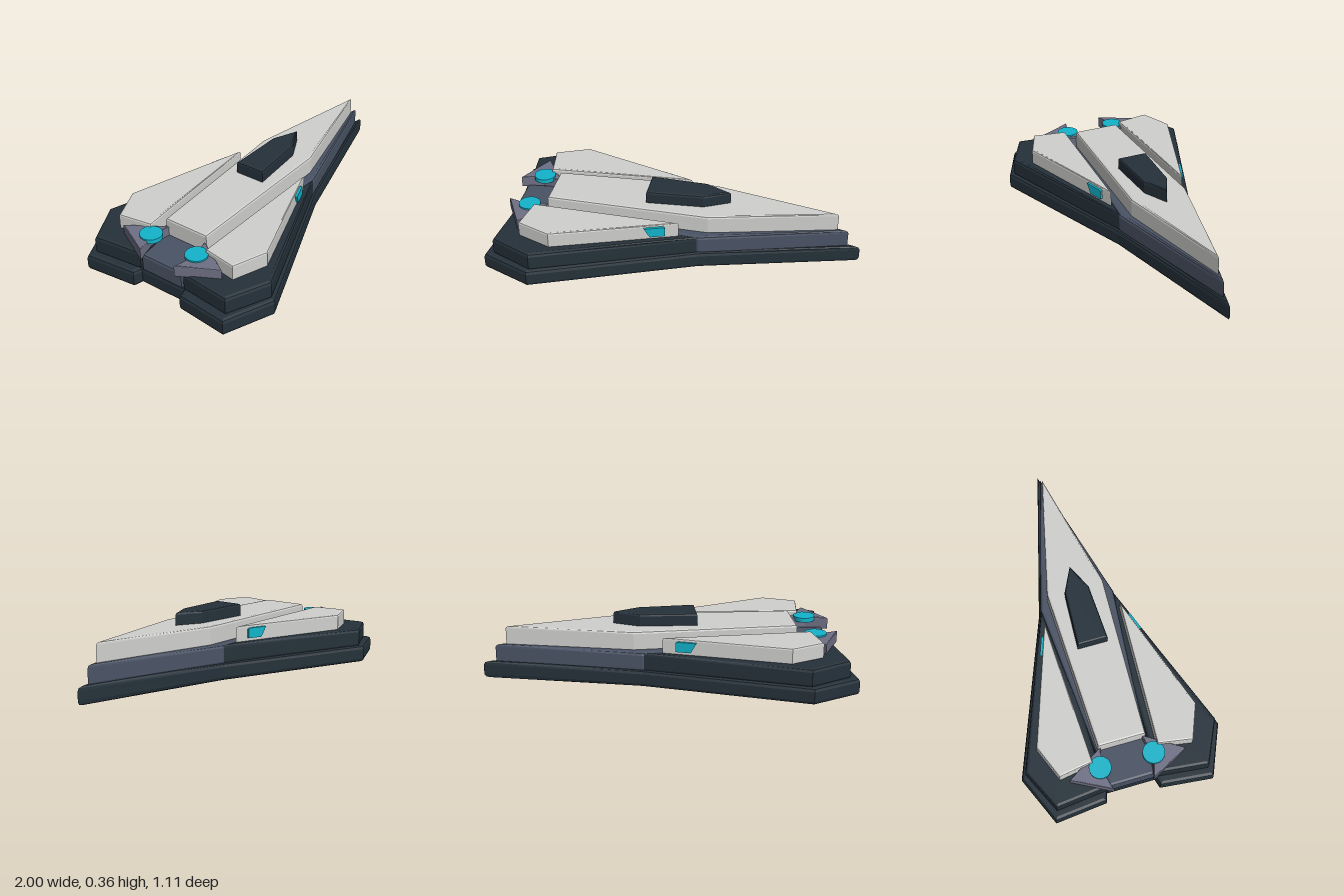
import * as THREE from 'three';

const mat = (name, color) => {
  const m = new THREE.MeshStandardMaterial({ color });
  m.name = name;
  return m;
};

export function createModel() {
  const dark = mat('dark hull', 0x25313a);
  const slate = mat('slate hull', 0x4a5365);
  const light = mat('light armour', 0xd0d0ce);
  const cyan = mat('cyan glow', 0x12b4cb);
  const bracket = mat('bracket grey', 0x6f7085);

  const model = new THREE.Group();
  model.name = 'wedgeShip';

  // Bevelled slab from a plan outline of [x, z] points, between two heights
  function slab(name, points, y0, y1, bevel, material) {
    const shape = new THREE.Shape(points.map(([x, z]) => new THREE.Vector2(x, -z)));
    const geo = new THREE.ExtrudeGeometry(shape, {
      depth: y1 - y0 - 2 * bevel, bevelEnabled: true, bevelThickness: bevel,
      bevelSize: bevel, bevelOffset: -bevel, bevelSegments: 2,
    });
    geo.rotateX(-Math.PI / 2);
    geo.translate(0, y0 + bevel, 0);
    const mesh = new THREE.Mesh(geo, material);
    mesh.name = name;
    model.add(mesh);
  }

  // Completes a half outline (z >= 0, nose first) across the centre line
  const mirrored = (half) => [
    ...half,
    ...half.filter(([, z]) => z > 0).reverse().map(([x, z]) => [x, -z]),
  ];

  // Stacked centre layers
  slab('baseHull', mirrored([[1, 0], [0.14, 0.225], [-0.73, 0.557], [-1, 0.44], [-0.97, 0.15], [-0.92, 0.135]]),
    0, 0.095, 0.02, dark);
  slab('centreHull', mirrored([[0.93, 0], [0.14, 0.213], [-0.92, 0.125]]), 0.085, 0.193, 0.016, slate);
  slab('centreDeck', mirrored([[0.87, 0], [0.18, 0.16], [-0.72, 0.13]]), 0.185, 0.295, 0.012, light);
  slab('cockpit', mirrored([[0.28, 0], [0.14, 0.068], [-0.175, 0.084]]), 0.285, 0.363, 0.012, dark);

  for (const s of [1, -1]) {
    const side = s > 0 ? 'left' : 'right';
    const flip = (pts) => pts.map(([x, z]) => [x, z * s]);

    // Wing step and its armour plate
    slab(side + 'WingHull', flip([[0.14, 0.208], [-0.72, 0.53], [-0.95, 0.42], [-0.92, 0.14], [-0.4, 0.15]]),
      0.085, 0.191, 0.018, dark);
    slab(side + 'WingPlate', flip([[0.03, 0.215], [-0.63, 0.44], [-0.815, 0.365], [-0.785, 0.178]]),
      0.183, 0.276, 0.01, light);

    // Engine bracket, an outward-pointing chevron
    slab(side + 'EngineBracket', flip([[-0.84, 0.318], [-0.95, 0.108], [-0.83, 0.14], [-0.71, 0.112]]),
      0.18, 0.247, 0.006, bracket);

    // Glowing engine disc
    const disc = new THREE.Mesh(new THREE.CylinderGeometry(0.06, 0.06, 0.025, 20), cyan);
    disc.name = side + 'EngineDisc';
    disc.position.set(-0.82, 0.243, s * 0.147);
    model.add(disc);

    // Lamp set into the outer edge of the wing plate
    const lampShape = new THREE.Shape([
      new THREE.Vector2(-0.055, 0.03), new THREE.Vector2(-0.025, -0.026),
      new THREE.Vector2(0.058, -0.026), new THREE.Vector2(0.058, 0.024), new THREE.Vector2(0.045, 0.03),
    ]);
    const lampGeo = new THREE.ExtrudeGeometry(lampShape, { depth: 0.024, bevelEnabled: false });
    lampGeo.translate(0, 0, -0.012);
    const lamp = new THREE.Mesh(lampGeo, cyan);
    lamp.name = side + 'WingLamp';
    lamp.position.set(-0.095, 0.234, s * 0.259);
    lamp.rotation.y = s * Math.atan2(0.225, 0.66);
    model.add(lamp);
  }

  return model;
}
